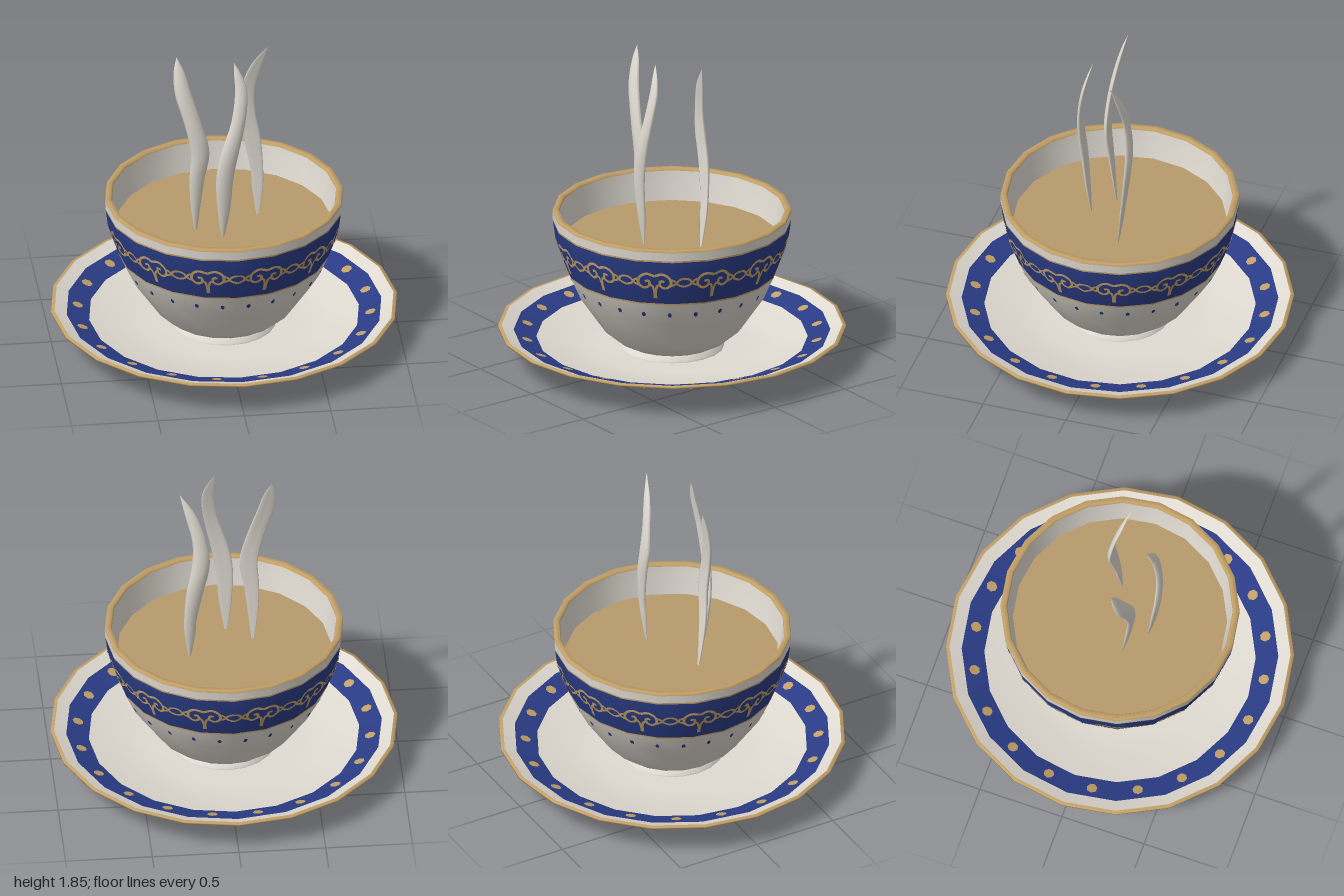
import * as THREE from 'three';
import { mergeGeometries } from 'three/addons/utils/BufferGeometryUtils.js';

const SIDES = 20;
const STEP = (Math.PI * 2) / SIDES;

function makeMaterial(name, color, side = THREE.FrontSide) {
  const m = new THREE.MeshStandardMaterial({ color, side });
  m.name = name;
  return m;
}

// Point on a faceted lathe surface, found by radius (key 0) or height (key 1), lifted off it slightly
function onSurface(profile, key, value, angle, lift = 0.004) {
  let i = 0;
  while (i < profile.length - 2 && (value - profile[i][key]) * (value - profile[i + 1][key]) > 0) i++;
  const [a, b] = [profile[i], profile[i + 1]];
  const t = (value - a[key]) / (b[key] - a[key]);
  const dr = b[0] - a[0], dy = b[1] - a[1], len = Math.hypot(dr, dy);
  const local = angle - Math.floor(angle / STEP) * STEP - STEP / 2;
  const r = (a[0] + dr * t) * Math.cos(STEP / 2) / Math.cos(local) + lift * dy / len;
  const y = a[1] + dy * t - lift * dr / len;
  return [r * Math.sin(angle), y, r * Math.cos(angle)];
}

function meshData(positions, index) {
  const g = new THREE.BufferGeometry();
  g.setAttribute('position', new THREE.Float32BufferAttribute(positions, 3));
  g.setIndex(index);
  g.computeVertexNormals();
  return g;
}

// Small round spot lying on a surface
function spot(profile, key, value, angle, ra, rv, sides = 7) {
  const pos = [...onSurface(profile, key, value, angle)], idx = [];
  for (let i = 0; i < sides; i++) {
    const a = (i / sides) * Math.PI * 2;
    pos.push(...onSurface(profile, key, value + rv * Math.cos(a), angle + ra * Math.sin(a)));
    idx.push(0, 1 + i, 1 + (i + 1) % sides);
  }
  return meshData(pos, idx);
}

// Painted line on a surface, through points given as [distance around, height]
function ribbon(profile, points, mid, mirror, width, n) {
  const curve = new THREE.CatmullRomCurve3(points.map(([u, v]) => new THREE.Vector3(u * mirror, v, 0)));
  const pos = [], idx = [];
  for (let i = 0; i <= n; i++) {
    const p = curve.getPoint(i / n), d = curve.getTangent(i / n);
    for (const s of [-1, 1]) {
      const u = p.x - d.y * s * width / 2, v = p.y + d.x * s * width / 2;
      pos.push(...onSurface(profile, 1, v, mid + u / 0.64));
    }
    if (i < n) { const k = i * 2; idx.push(k, k + 2, k + 1, k + 1, k + 2, k + 3); }
  }
  return meshData(pos, idx);
}

// Flattened curling wisp; rows are [left x, right x, y]
function wisp(rows, z0, bend) {
  const curve = new THREE.CatmullRomCurve3(rows.map(r => new THREE.Vector3(...r)));
  const n = 26, ring = 10, pos = [], idx = [];
  for (let i = 0; i <= n; i++) {
    const { x: xl, y: xr, z: y } = curve.getPoint(i / n);
    const hw = Math.max((xr - xl) / 2, 0.001), mid = (xl + xr) / 2;
    const fall = y > 1.3 ? 0.085 * ((y - 1.3) / 0.54) ** 2 : 0.03 * ((1.3 - y) / 0.39) ** 1.5;
    for (let j = 0; j < ring; j++) {
      const a = (j / ring) * Math.PI * 2;
      const z = z0 - bend * fall + hw * 0.28 * Math.sin(a) - bend * hw * 0.2 * Math.cos(a) ** 2;
      pos.push(mid + hw * Math.cos(a), y, z);
      if (i < n) {
        const p = i * ring + j, q = i * ring + (j + 1) % ring;
        idx.push(p, p + ring, q, q, p + ring, q + ring);
      }
    }
  }
  return meshData(pos, idx);
}

export function createModel() {
  const white = makeMaterial('porcelain', 0xe0dbd2);
  const blue = makeMaterial('cobalt blue', 0x2a3c86, THREE.DoubleSide);
  const gold = makeMaterial('gold trim', 0xc2a068, THREE.DoubleSide);
  const tea = makeMaterial('milky tea', 0xb89a6c);

  const model = new THREE.Group();
  model.name = 'cupAndSaucer';
  const saucer = new THREE.Group(), cup = new THREE.Group(), steam = new THREE.Group();
  saucer.name = 'saucer'; cup.name = 'cup'; steam.name = 'steam';
  model.add(saucer, cup, steam);

  const add = (parent, name, geometry, material) => {
    const m = new THREE.Mesh(geometry, material);
    m.name = name;
    parent.add(m);
  };
  const band = (parent, name, material, pts) =>
    add(parent, name, new THREE.LatheGeometry(pts.map(p => new THREE.Vector2(...p)), SIDES), material);

  // Saucer, from the centre of the underside, round the rim and back to the centre
  const underBlue = [[0.77, 0.103], [0.91, 0.155]];
  const topBlue = [[0.91, 0.172], [0.78, 0.13]];
  band(saucer, 'undersideCentre', white, [[0, 0.06], [0.28, 0.06]]);
  band(saucer, 'undersideGoldRing', gold, [[0.28, 0.06], [0.31, 0.058]]);
  band(saucer, 'undersideRecess', white, [[0.31, 0.058], [0.4, 0.05], [0.44, 0]]);
  band(saucer, 'footBottom', white, [[0.44, 0], [0.46, 0]]);
  band(saucer, 'footSide', white, [[0.46, 0], [0.475, 0.03]]);
  band(saucer, 'underside', white, [[0.475, 0.03], [0.62, 0.062], [0.77, 0.103]]);
  band(saucer, 'undersideBlueBand', blue, underBlue);
  band(saucer, 'undersideEdge', white, [[0.91, 0.155], [0.985, 0.181]]);
  band(saucer, 'goldRim', gold, [[0.985, 0.181], [1, 0.187], [1, 0.197], [0.98, 0.2]]);
  band(saucer, 'topEdge', white, [[0.98, 0.2], [0.91, 0.172]]);
  band(saucer, 'topBlueBand', blue, topBlue);
  band(saucer, 'well', white, [[0.78, 0.13], [0.6, 0.09], [0.45, 0.077], [0, 0.075]]);
  const saucerSpots = [];
  for (let i = 0; i < SIDES; i++) {
    const a = (i + 0.47) * STEP;
    saucerSpots.push(spot(topBlue, 0, 0.853, a, 0.037, 0.032), spot(underBlue, 0, 0.85, a, 0.037, 0.032));
  }
  add(saucer, 'goldSpots', mergeGeometries(saucerSpots), gold);

  // Cup
  const lower = [[0.275, 0.11], [0.33, 0.14], [0.4, 0.2], [0.55, 0.42], [0.608, 0.55]];
  const wall = [[0.61, 0.56], [0.65, 0.67], [0.672, 0.75], [0.684, 0.84]];
  band(cup, 'foot', white, [[0.3, 0.07], [0.3, 0.085], [0.275, 0.11]]);
  band(cup, 'bowl', white, lower);
  band(cup, 'lowerGoldLine', gold, [[0.608, 0.55], [0.61, 0.56]]);
  band(cup, 'blueBand', blue, wall);
  band(cup, 'upperGoldLine', gold, [[0.684, 0.84], [0.685, 0.85]]);
  band(cup, 'collar', white, [[0.685, 0.85], [0.688, 0.9]]);
  band(cup, 'goldLip', gold, [[0.688, 0.9], [0.683, 0.915], [0.655, 0.915], [0.648, 0.9]]);
  band(cup, 'innerWall', white, [[0.648, 0.9], [0.635, 0.82], [0.612, 0.71]]);
  band(cup, 'tea', tea, [[0.617, 0.73], [0, 0.73]]);

  // Row of small blue spots on the bowl
  const bowlSpots = [];
  for (let i = 0; i < 24; i++) {
    bowlSpots.push(spot(lower, 1, 0.48, (i + 0.5) * Math.PI / 12, 0.021, 0.017));
  }
  add(cup, 'blueSpots', mergeGeometries(bowlSpots), blue);

  // Gold scrollwork: twelve mirrored pairs of curls, each on a stem and linked to its neighbours
  const curl = [[0, 0.752], [0.045, 0.765], [0.085, 0.74], [0.09, 0.695], [0.06, 0.672], [0.03, 0.69], [0.035, 0.72], [0.055, 0.715]];
  const branch = [[0.004, 0.6], [0.005, 0.65], [0.014, 0.685], [0.032, 0.695]];
  const linkDown = [[0.082, 0.735], [0.11, 0.725], [0.135, 0.695], [0.168, 0.682]];
  const linkUp = [[0.088, 0.69], [0.115, 0.7], [0.14, 0.73], [0.168, 0.738]];
  const scrolls = [];
  for (let i = 0; i < 12; i++) {
    const mid = (i + 0.5) * Math.PI / 6;
    for (const s of [-1, 1]) {
      scrolls.push(
        ribbon(wall, curl, mid, s, 0.016, 26),
        ribbon(wall, branch, mid, s, 0.014, 8),
        ribbon(wall, linkDown, mid, s, 0.014, 8),
        ribbon(wall, linkUp, mid, s, 0.014, 8));
    }
  }
  add(cup, 'goldScrolls', mergeGeometries(scrolls), gold);

  // Three wisps of steam rising from the tea
  add(steam, 'leftWisp', wisp([
    [-0.18, -0.165, 0.725], [-0.205, -0.145, 0.91], [-0.212, -0.125, 1.08], [-0.205, -0.098, 1.25],
    [-0.245, -0.145, 1.45], [-0.295, -0.2, 1.63], [-0.298, -0.24, 1.77], [-0.28, -0.28, 1.845]], 0.13, 1), white);
  add(steam, 'middleWisp', wisp([
    [-0.035, -0.02, 0.725], [-0.06, 0.012, 0.91], [-0.07, 0.03, 1.13], [-0.042, 0.06, 1.3],
    [0.018, 0.1, 1.5], [0.042, 0.112, 1.68], [0.038, 0.08, 1.78], [0.04, 0.042, 1.845]], 0.235, 1), white);
  add(steam, 'rightWisp', wisp([
    [0.195, 0.21, 0.725], [0.17, 0.235, 0.91], [0.165, 0.237, 1.0], [0.128, 0.225, 1.2],
    [0.09, 0.192, 1.4], [0.108, 0.19, 1.55], [0.165, 0.23, 1.72], [0.255, 0.257, 1.845]], -0.11, -1), white);

  return model;
}
